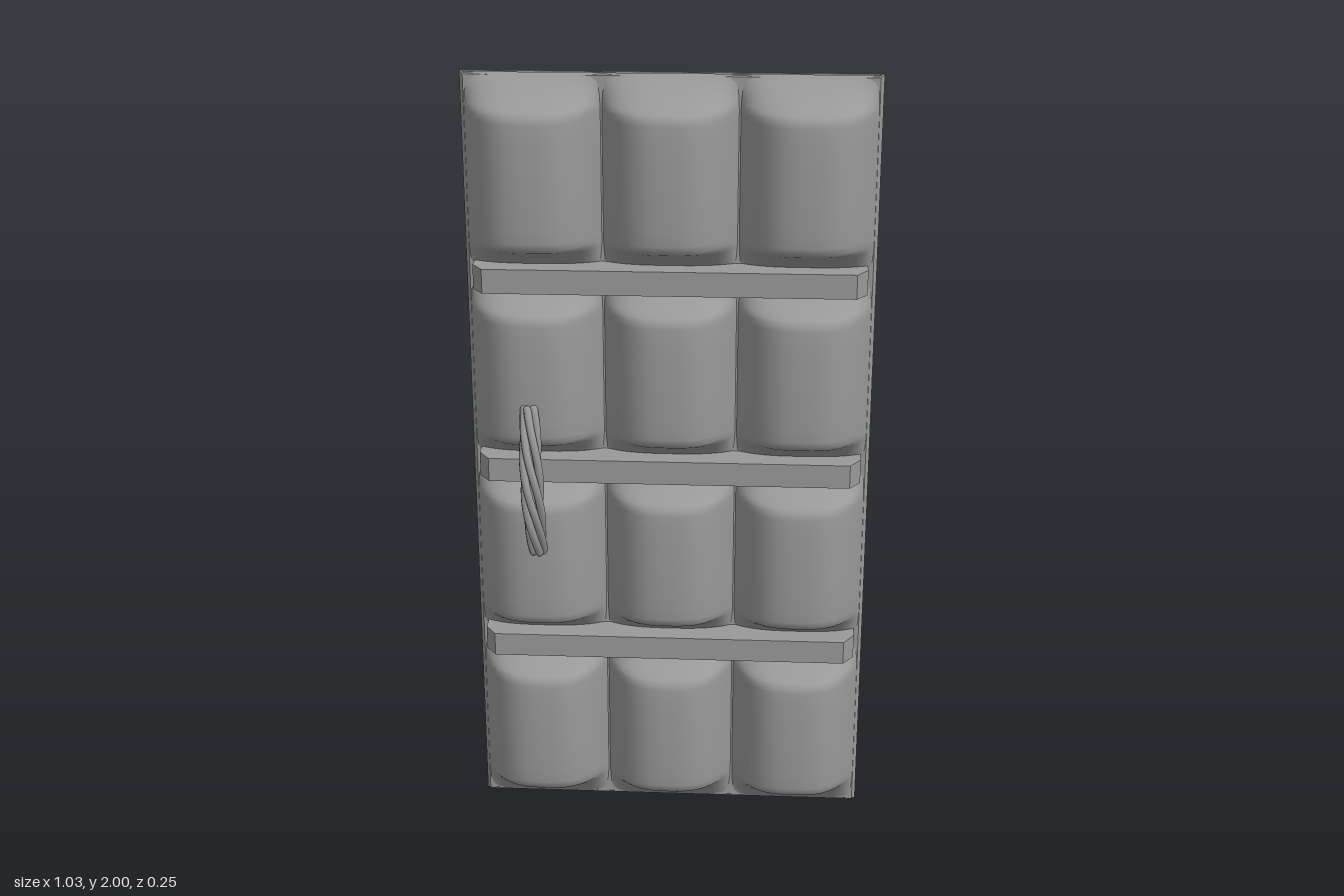
import * as THREE from 'three';
import { toCreasedNormals } from 'three/addons/utils/BufferGeometryUtils.js';

const material = new THREE.MeshStandardMaterial({ color: 0x999999, side: THREE.DoubleSide });

function add(parent, name, geometry, x = 0, y = 0, z = 0) {
  const mesh = new THREE.Mesh(geometry, material);
  mesh.name = name;
  mesh.position.set(x, y, z);
  parent.add(mesh);
}

// Solid from rectangular rings [halfWidth, halfHeight, z], back to front, closed at both ends
function ringSolid(rings) {
  const points = [], index = [];
  for (const [a, b, z] of rings) points.push(-a, -b, z, a, -b, z, a, b, z, -a, b, z);
  for (let r = 0; r < rings.length - 1; r++) {
    for (let k = 0; k < 4; k++) {
      const p = r * 4 + k, q = r * 4 + (k + 1) % 4;
      index.push(p, q, q + 4, p, q + 4, p + 4);
    }
  }
  const e = (rings.length - 1) * 4;
  index.push(0, 2, 1, 0, 3, 2, e, e + 1, e + 2, e, e + 2, e + 3);
  const g = new THREE.BufferGeometry();
  g.setAttribute('position', new THREE.Float32BufferAttribute(points, 3));
  g.setIndex(index);
  return toCreasedNormals(g, 0.4);
}

// Padded panel: domed across its width, flaring out to the slab at its upper and lower ends
function cushionGeometry() {
  const half = [ // [distance from the middle, share of the full height]
    [0.06, 0.995], [0.11, 0.985], [0.145, 0.97], [0.16, 0.945], [0.17, 0.87], [0.178, 0.74],
    [0.19, 0.56], [0.203, 0.4], [0.218, 0.25], [0.234, 0.11], [0.249, 0],
  ];
  const stations = [
    ...half.map(([y, h]) => [y, h]).reverse(), [0, 1], ...half.map(([y, h]) => [-y, h]),
  ];
  const columns = 20;
  const g = new THREE.PlaneGeometry(2, 2, columns, stations.length - 1);
  const p = g.attributes.position;
  for (let i = 0; i < p.count; i++) {
    const [y, height] = stations[Math.floor(i / (columns + 1))];
    const u = Math.sin(p.getX(i) * Math.PI / 2);
    p.setXYZ(i, u * 0.168, y, -0.08 + 0.138 * height * (1 - Math.abs(u) ** 3));
  }
  g.computeVertexNormals();
  return g;
}

// Twisted rope strand wound round a bowed centre line
class Strand extends THREE.Curve {
  constructor(phase) {
    super();
    this.phase = phase;
  }
  getPoint(t, target = new THREE.Vector3()) {
    const s = 2 * t - 1, angle = this.phase + t * Math.PI * 1.4;
    const spread = 0.02 - 0.006 * s * s;
    return target.set(
      -0.34 - 0.006 * s + spread * Math.cos(angle),
      0.99 + 0.195 * s,
      0.095 - 0.043 * s * s + spread * Math.sin(angle),
    );
  }
}

export function createModel() {
  const model = new THREE.Group();
  model.name = 'paddedDoor';

  // Core slab with bevelled edges
  add(model, 'slab', ringSolid([
    [0.505, 0.994, -0.102], [0.513, 1, -0.098], [0.513, 1, -0.086], [0.504, 0.993, -0.076],
  ]), 0, 1, 0);

  const cushion = cushionGeometry();
  const backPanel = ringSolid([[0.16, 0.235, -0.126], [0.161, 0.238, -0.11], [0.166, 0.246, -0.1]]);
  const crossBar = ringSolid([[0.49, 0.032, -0.08], [0.49, 0.032, -0.03], [0.462, 0.031, 0.012]]);

  // Three columns by four rows of padding in front and flat panels behind
  for (let row = 0; row < 4; row++) {
    for (let col = -1; col <= 1; col++) {
      const x = col * 0.337, y = 0.25 + row * 0.5;
      add(model, 'cushion', cushion, x, y);
      add(model, 'backPanel', backPanel, x, y);
    }
  }

  // Rails between the rows
  for (const y of [0.5, 1, 1.5]) add(model, 'crossBar', crossBar, 0, y);

  // Rope handle with rounded strand ends
  const handle = new THREE.Group();
  handle.name = 'ropeHandle';
  model.add(handle);
  for (let i = 0; i < 5; i++) {
    const curve = new Strand(i * Math.PI * 0.4);
    add(handle, 'strand', new THREE.TubeGeometry(curve, 32, 0.0105, 8));
    for (const t of [0, 1]) {
      add(handle, 'strandEnd', new THREE.SphereGeometry(0.0105, 8, 6), ...curve.getPoint(t).toArray());
    }
  }
  return model;
}
